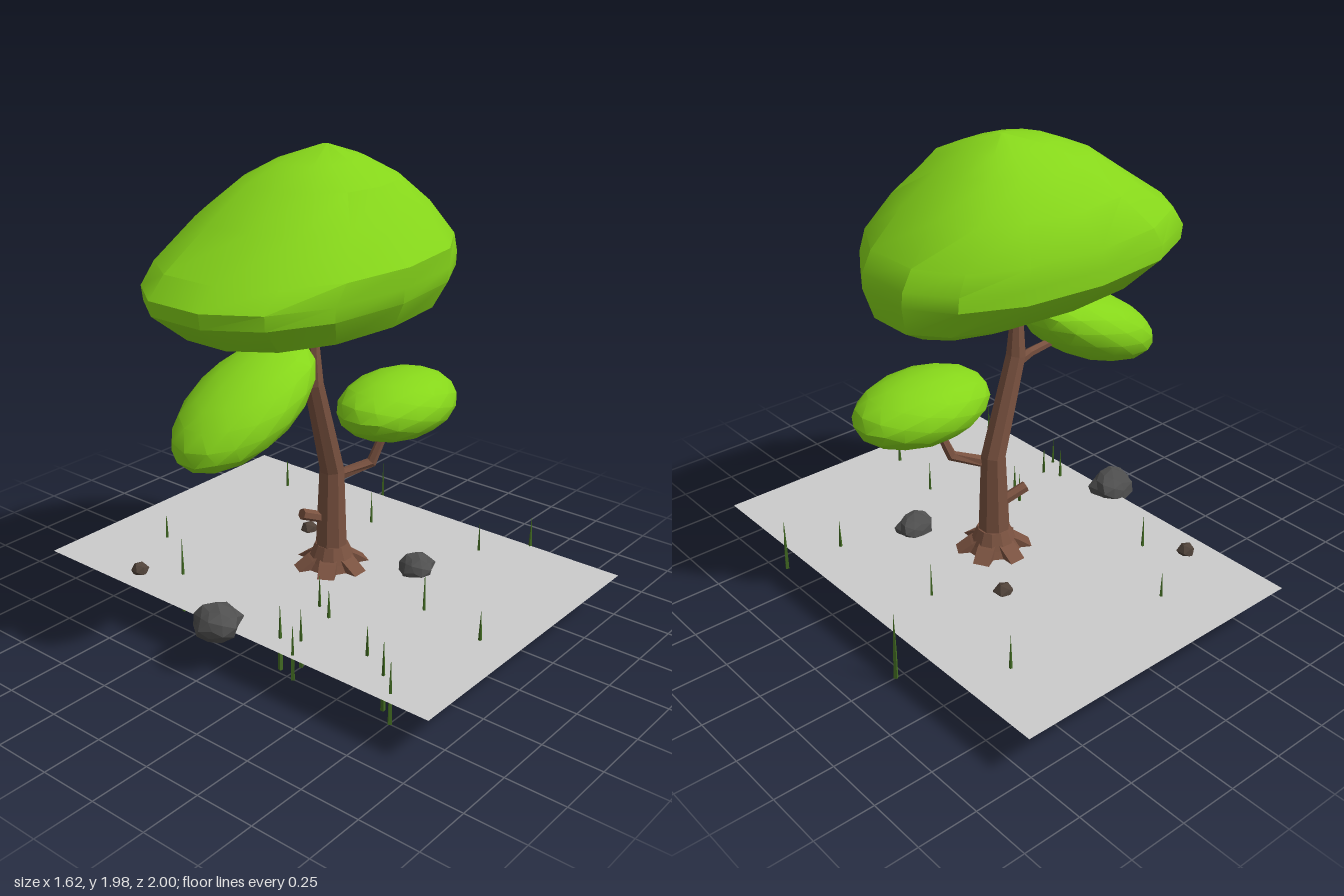
import * as THREE from 'three';
import { toCreasedNormals } from 'three/addons/utils/BufferGeometryUtils.js';

const V = (x, y, z) => new THREE.Vector3(x, y, z);
const mat = (color, flatShading = false) => new THREE.MeshStandardMaterial({ color, flatShading });

// Skin equal-sized rings of points and close both ends
function skin(rings) {
  const n = rings[0].length, pos = [], idx = [];
  rings.forEach(r => r.forEach(p => pos.push(p.x, p.y, p.z)));
  for (let i = 0; i < rings.length - 1; i++) {
    for (let j = 0; j < n; j++) {
      const k = (j + 1) % n, a = i * n + j, b = i * n + k;
      idx.push(a, b, b + n, a, b + n, a + n);
    }
  }
  const top = (rings.length - 1) * n;
  for (let j = 1; j < n - 1; j++) {
    idx.push(0, j + 1, j);
    idx.push(top, top + j, top + j + 1);
  }
  const g = new THREE.BufferGeometry();
  g.setAttribute('position', new THREE.Float32BufferAttribute(pos, 3));
  g.setIndex(idx);
  g.computeVertexNormals();
  return g;
}

// Tapered limb along points [x, y, z, radius]
function limb(path, sides, ref = V(0, 0, 1), flat = 1) {
  const pts = path.map(p => V(p[0], p[1], p[2]));
  return skin(path.map((p, i) => {
    const d = pts[Math.min(i + 1, pts.length - 1)].clone().sub(pts[Math.max(i - 1, 0)]).normalize();
    const u = ref.clone().addScaledVector(d, -ref.dot(d)).normalize();
    const v = d.clone().cross(u);
    return Array.from({ length: sides }, (_, j) => {
      const t = (j + 0.5) / sides * Math.PI * 2;
      return pts[i].clone()
        .addScaledVector(u, Math.cos(t) * p[3])
        .addScaledVector(v, Math.sin(t) * p[3] * flat);
    });
  }));
}

// Crown from level sections [y, xMin, xMax, zMin, zMax]
function crownGeometry() {
  const sections = [
    [1.26, -0.22, 0.15, -0.1, 0.1], [1.285, -0.42, 0.47, -0.2, 0.2],
    [1.35, -0.66, 0.58, -0.33, 0.395], [1.47, -0.81, 0.615, -0.43, 0.48],
    [1.53, -0.82, 0.61, -0.43, 0.49], [1.61, -0.74, 0.565, -0.425, 0.5],
    [1.75, -0.53, 0.44, -0.36, 0.41], [1.87, -0.36, 0.28, -0.23, 0.32],
    [1.935, -0.2, 0.18, -0.13, 0.16], [1.98, 0.02, 0.05, -0.015, 0.015],
  ];
  const sup = c => Math.sign(c) * Math.abs(c) ** 0.88;
  return skin(sections.map(([y, x0, x1, z0, z1]) => Array.from({ length: 14 }, (_, j) => {
    const t = j / 14 * Math.PI * 2, c = sup(Math.cos(t));
    return V((x0 + x1) / 2 + sup(Math.sin(t)) * (x1 - x0) / 2, y, c > 0 ? c * z1 : -c * z0);
  })));
}

export function createModel() {
  const model = new THREE.Group();
  const leaf = mat(0x86d61a), bark = mat(0x7a5240, true), stone = mat(0x505050, true);
  const brownStone = mat(0x4f4239, true), blade = mat(0x426b22, true);
  const add = (name, geometry, material, parent = model) => {
    const m = new THREE.Mesh(geometry, material);
    m.name = name;
    parent.add(m);
    return m;
  };
  const group = name => {
    const g = new THREE.Group();
    g.name = name;
    model.add(g);
    return g;
  };

  // Ground sheet
  const groundMat = mat(0xcccccc);
  groundMat.side = THREE.DoubleSide;
  const ground = add('ground', new THREE.PlaneGeometry(1.37, 2).rotateX(-Math.PI / 2), groundMat);
  ground.position.set(0.075, 0.18, 0);

  // Trunk and branches
  add('trunk', limb([[0.08, 0.17, 0, 0.075], [0.078, 0.28, 0, 0.068], [0.08, 0.62, 0, 0.054],
    [-0.05, 1.04, 0.01, 0.043], [-0.06, 1.27, 0.015, 0.022], [-0.06, 1.4, 0.015, 0.02]], 8), bark);
  add('brokenBranch', limb([[0.05, 0.4, -0.02, 0.024], [-0.055, 0.445, -0.05, 0.024]], 6), bark);
  add('leftBranch', limb([[0.1, 0.59, 0.02, 0.026], [0.22, 0.63, 0.1, 0.023], [0.28, 0.8, 0.14, 0.017]], 6), bark);
  add('rightBranch', limb([[-0.04, 1.01, 0, 0.025], [-0.11, 1.04, -0.01, 0.02], [-0.22, 1.06, -0.02, 0.018]], 6), bark);

  // Flared root collar and six root feet
  const roots = group('roots');
  add('rootCollar', limb([[0.08, 0.16, 0, 0.125], [0.08, 0.21, 0, 0.1], [0.08, 0.28, 0, 0.07]], 12), bark, roots);
  for (let i = 0; i < 6; i++) {
    const a = i * Math.PI / 3, s = Math.sin(a), c = Math.cos(a);
    const at = (r, y, w) => [0.08 + s * r, y, c * r, w];
    add('root', limb([at(0.03, 0.24, 0.05), at(0.09, 0.205, 0.052), at(0.17, 0.15, 0.05)], 4, V(c, 0, -s), 0.5), bark, roots);
  }

  // Foliage
  add('crown', toCreasedNormals(crownGeometry(), 0.5), leaf);
  const clump = (name, x, y, z, a, b, c, tilt) => {
    const g = new THREE.IcosahedronGeometry(1, 2).scale(a, b, c).rotateZ(tilt);
    add(name, toCreasedNormals(g, 0.42), leaf).position.set(x, y, z);
  };
  clump('rightFoliage', -0.443, 1.065, 0, 0.36, 0.145, 0.222, 0.44);
  clump('leftFoliage', 0.325, 0.878, 0.152, 0.31, 0.143, 0.215, -0.02);

  // Rocks, roughened by a fixed wave rule
  const rocks = group('rocks');
  [[-0.62, 0.21, 0, 0.105, 0.08, 0.095, 1, stone], [0.26, 0.2, 0.32, 0.088, 0.065, 0.072, 1, stone],
    [-0.505, 0.195, -0.57, 0.042, 0.038, 0.04, 0, brownStone], [0.26, 0.185, -0.28, 0.045, 0.042, 0.045, 0, brownStone],
  ].forEach(([x, y, z, a, b, c, detail, m]) => {
    const g = new THREE.IcosahedronGeometry(1, detail), p = g.attributes.position;
    for (let i = 0; i < p.count; i++) {
      const v = V(p.getX(i), p.getY(i), p.getZ(i));
      v.multiplyScalar(0.94 + 0.12 * Math.sin(v.x * 5 + v.y * 9 + v.z * 7));
      p.setXYZ(i, v.x, v.y, v.z);
    }
    add('rock', g.scale(a, b, c), m, rocks).position.set(x, y, z);
  });

  // Grass blades: [x, z, base height]
  const grass = group('grass');
  [[-0.2, -0.715, 0.095], [0.557, -0.665, 0.04], [0.81, -0.28, 0.03], [-0.4, -0.415, 0.005], [0.58, 0.42, 0.08],
    [0.76, 0.57, 0.07], [-0.41, 0.575, 0.075], [0.005, 0.54, 0], [-0.48, 0.705, 0.03], [-0.557, 0.795, 0.05],
    [-0.045, 0.84, 0.08], [-0.585, 0.355, 0.07], [-0.525, 0.24, 0.04], [-0.49, 0.315, 0.065],
    [-0.285, 0.285, 0.085], [-0.24, 0.2, 0.045], [0.5, -0.11, 0.045],
  ].forEach(([x, z, y], i) => {
    const h = 0.35 - 1.6 * y * 1.05 + y * 0.2;
    const profile = [[0, 0], [0.01, 0], [0.008, 0.4], [0.005, 0.65], [0, 1]].map(([r, t]) => new THREE.Vector2(r, t * h));
    const b = add('grassBlade', new THREE.LatheGeometry(profile, 4), blade, grass);
    b.position.set(x, y, z);
    b.rotation.y = i * 0.7;
  });
  return model;
}
